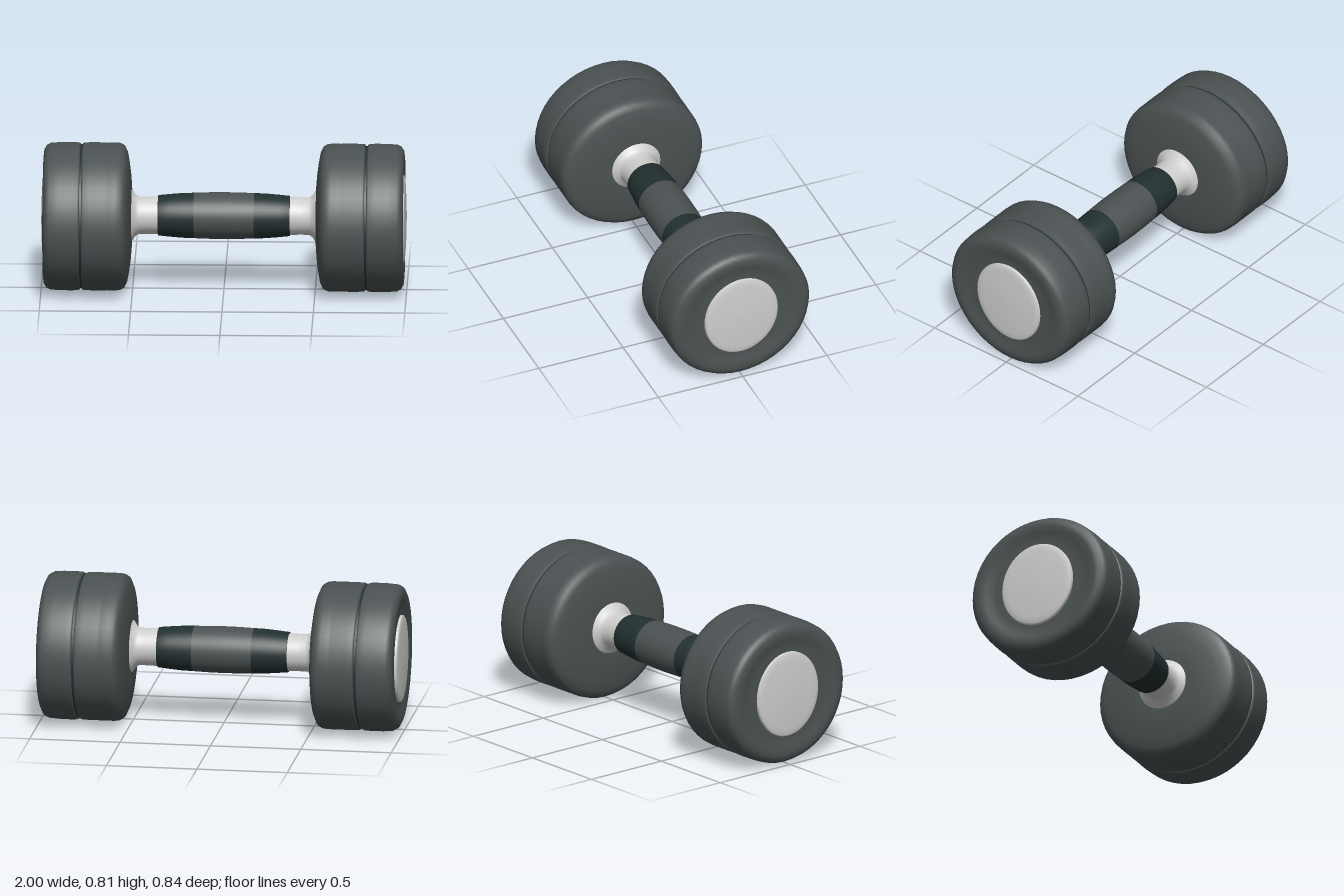
import * as THREE from 'three';

const material = (name, color) => {
  const m = new THREE.MeshStandardMaterial({ color });
  m.name = name;
  return m;
};

export function createModel() {
  const rubber = material('grey rubber', 0x4b5152);
  const darkRubber = material('dark rubber', 0x223030);
  const steel = material('pale steel', 0xcfcfcd);

  const model = new THREE.Group();
  model.name = 'dumbbell';

  // Turn an [x, radius] profile around the x axis; side -1 mirrors it
  const turned = (parent, name, mat, profile, side = 1, scaleY = 1, scaleZ = 1) => {
    const points = profile.map(([x, r]) => new THREE.Vector2(r, x));
    const geometry = new THREE.LatheGeometry(points, 48);
    geometry.rotateZ(-side * Math.PI / 2);
    geometry.scale(1, scaleY, scaleZ);
    const mesh = new THREE.Mesh(geometry, mat);
    mesh.name = name;
    parent.add(mesh);
    return mesh;
  };

  // Handle: swollen middle grip with darker tapered bands
  const handle = new THREE.Group();
  handle.name = 'handle';
  handle.position.y = 0.413;
  model.add(handle);
  turned(handle, 'middleGrip', rubber,
    [[-0.165, 0.124], [-0.08, 0.127], [0, 0.128], [0.08, 0.127], [0.165, 0.124]], 1, 1, 1.03);

  for (const side of [1, -1]) {
    const end = side > 0 ? 'left' : 'right';
    turned(handle, end + 'GripBand', darkRubber,
      [[0.165, 0.124], [0.23, 0.122], [0.3, 0.116], [0.36, 0.11], [0.362, 0.1]], side, 1, 1.03);
    // Flared steel collar
    turned(handle, end + 'Collar', steel,
      [[0.355, 0.104], [0.42, 0.102], [0.465, 0.103], [0.485, 0.115], [0.497, 0.135], [0.512, 0.15]], side);

    const weight = new THREE.Group();
    weight.name = end + 'Weight';
    weight.position.y = 0.405;
    model.add(weight);
    // Inner plate with rounded shoulder and a shallow seam
    turned(weight, end + 'InnerPlate', rubber,
      [[0.505, 0.08], [0.505, 0.18], [0.51, 0.24], [0.518, 0.3], [0.528, 0.355], [0.543, 0.388],
        [0.565, 0.401], [0.59, 0.404], [0.634, 0.404], [0.638, 0.401], [0.642, 0.404],
        [0.73, 0.404], [0.765, 0.403], [0.774, 0.398], [0.777, 0.38]], side, 1, 1.037);
    // Dark groove between the plates
    turned(weight, end + 'Groove', darkRubber, [[0.772, 0.393], [0.788, 0.393]], side, 1, 1.037);
    // Outer plate with rounded rim and dished face
    turned(weight, end + 'OuterPlate', rubber,
      [[0.783, 0.38], [0.786, 0.398], [0.795, 0.403], [0.83, 0.405], [0.9, 0.404], [0.95, 0.4],
        [0.972, 0.388], [0.984, 0.365], [0.987, 0.34], [0.983, 0.31], [0.976, 0.285],
        [0.973, 0.25], [0.973, 0]], side, 1, 1.037);
    // Domed steel end cap, slightly taller than wide
    const cap = turned(weight, end + 'EndCap', steel,
      [[0.965, 0.24], [0.983, 0.24], [0.989, 0.232], [0.993, 0.2], [0.998, 0.1], [1, 0]],
      side, 1, 0.9);
    cap.position.y = -0.004;
  }
  return model;
}
